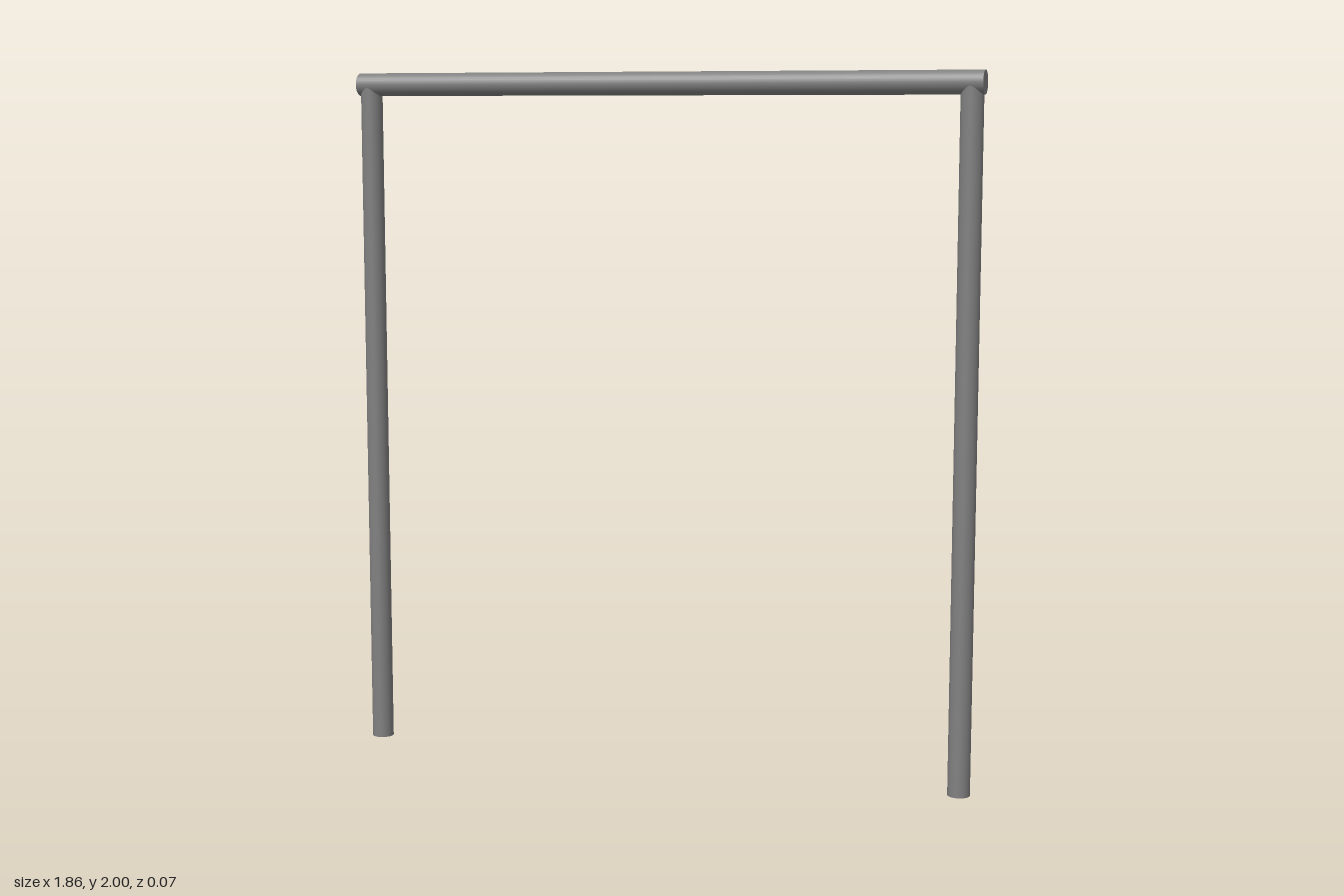
import * as THREE from 'three';

export function createModel() {
  const group = new THREE.Group();
  const steel = new THREE.MeshStandardMaterial({ color: 0x808080 });
  steel.name = 'grey steel';

  const barRadius = 0.033, postRadius = 0.0315;
  const barLength = 1.856, barY = 2 - barRadius;

  // Smooth round tube with flat end caps
  const addTube = (name, radius, length) => {
    const tube = new THREE.Mesh(new THREE.CylinderGeometry(radius, radius, length, 32), steel);
    tube.name = name;
    group.add(tube);
    return tube;
  };

  // Crossbar lying along x
  const crossbar = addTube('crossbar', barRadius, barLength);
  crossbar.rotation.z = Math.PI / 2;
  crossbar.position.y = barY;

  // Two upright posts, running up into the middle of the crossbar
  for (const [name, side] of [['leftPost', 1], ['rightPost', -1]]) {
    const post = addTube(name, postRadius, barY);
    post.position.set(side * 0.893, barY / 2, 0);
  }

  return group;
}
